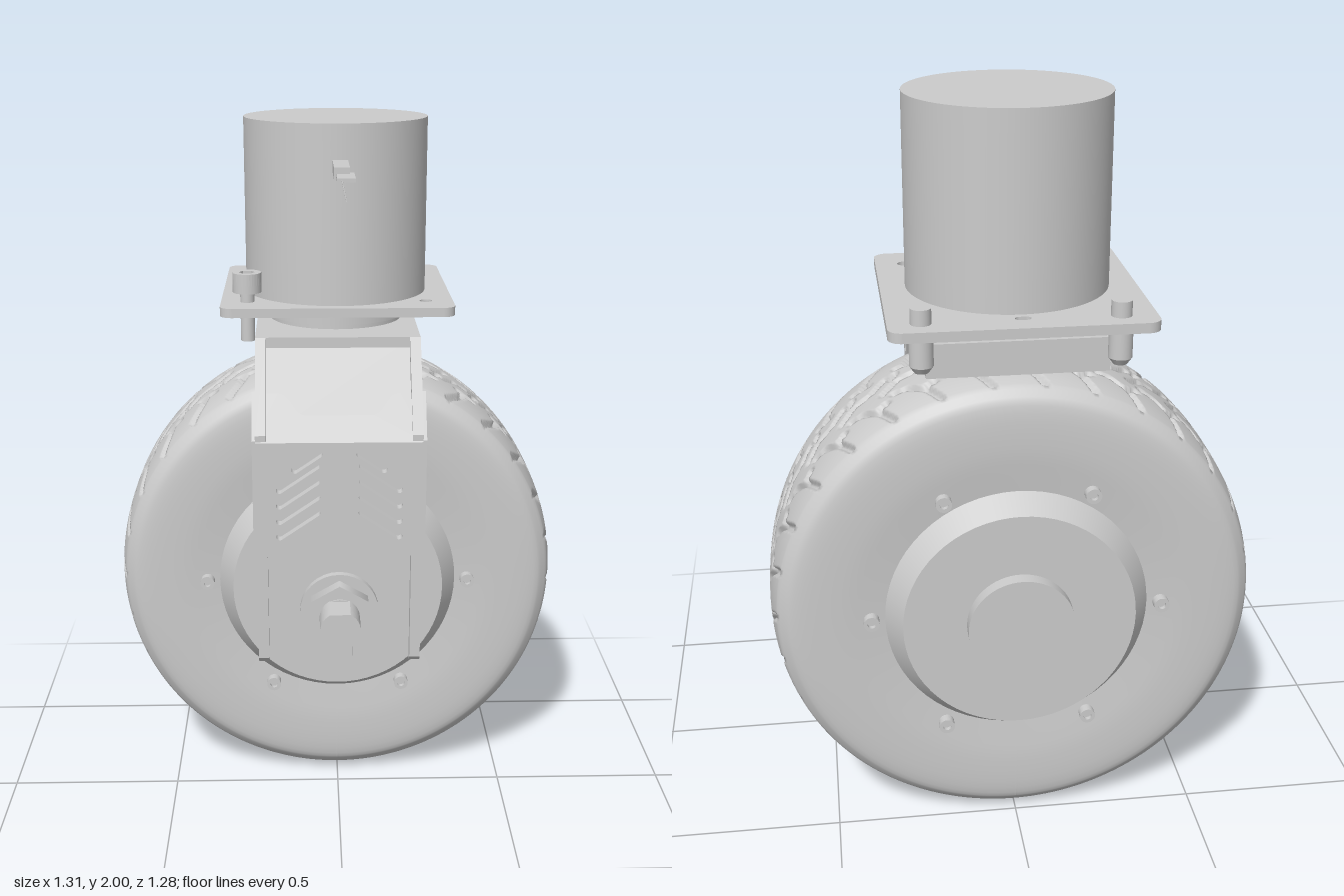
import * as THREE from 'three';

const grey = new THREE.MeshStandardMaterial({ color: 0xcccccc });
const AXLE_Y = 0.657, WHEEL_Z = -0.28, HEAD_Z = -0.275;

function add(parent, name, geo, x = 0, y = 0, z = 0) {
  const m = new THREE.Mesh(geo, grey);
  m.name = name;
  m.position.set(x, y, z);
  parent.add(m);
  return m;
}
const poly = (pts) => new THREE.Shape(pts.map(([x, y]) => new THREE.Vector2(x, y)));
const extrude = (shape, depth) =>
  new THREE.ExtrudeGeometry(shape, { depth, bevelEnabled: false, curveSegments: 16 });
function hole(shape, x, y, r) {
  shape.holes.push(new THREE.Path().absarc(x, y, r, 0, Math.PI * 2, true));
}
// capsule-shaped hole centred at x, y
function slot(shape, x, y, len, r, ang) {
  const p = new THREE.Path(), dx = Math.cos(ang) * len / 2, dy = Math.sin(ang) * len / 2;
  p.absarc(x + dx, y + dy, r, ang - Math.PI / 2, ang + Math.PI / 2, false);
  p.absarc(x - dx, y - dy, r, ang + Math.PI / 2, ang + Math.PI * 1.5, false);
  shape.holes.push(p);
}
// outline given as [z, y], extruded along +x
const sideExtrude = (pts, depth, holes = []) => {
  const s = poly(pts.map(([z, y]) => [-z, y]));
  holes.forEach(([z, y, len, r]) => slot(s, -z, y, len, r, Math.PI / 2));
  return extrude(s, depth).rotateY(Math.PI / 2);
};
// upright cylinder between two heights
const post = (g, name, r, y0, y1, x, z, seg = 24, r0 = r) =>
  add(g, name, new THREE.CylinderGeometry(r, r0, y1 - y0, seg), x, (y0 + y1) / 2, z);
// cylinder on the axle line, from z0 (radius r0) to z1 (radius r1)
const disc = (g, name, r0, r1, z0, z1, seg = 64) =>
  add(g, name, new THREE.CylinderGeometry(r1, r0, z1 - z0, seg).rotateX(Math.PI / 2), 0, AXLE_Y, (z0 + z1) / 2);

// Tread grooves in one pitch: [across, along] polylines
const PITCHES = 30, PITCH = Math.PI * 2 * 0.655 / PITCHES;
const GROOVES = [
  [[-0.185, 0.06], [-0.13, 0.02], [-0.08, 0.0]],
  [[-0.075, 0.025], [-0.085, -0.028]],
  [[-0.045, 0.075], [-0.005, 0.03], [0.005, -0.03], [0.045, -0.075]],
  [[-0.05, -0.03], [-0.025, -0.045]],
  [[0.19, 0.075], [0.13, 0.045], [0.085, -0.005], [0.075, -0.045]],
  [[0.12, 0.035], [0.105, 0.07]],
];
function grooveDistance(v, u) {
  let best = 1;
  for (const line of GROOVES) for (let i = 0; i + 1 < line.length; i++) {
    const [ax, ay] = line[i], [bx, by] = line[i + 1];
    for (const k of [-1, 0, 1]) {
      const px = v - ax, py = u + k * PITCH - ay, dx = bx - ax, dy = by - ay;
      const t = Math.min(1, Math.max(0, (px * dx + py * dy) / (dx * dx + dy * dy)));
      best = Math.min(best, Math.hypot(px - t * dx, py - t * dy));
    }
  }
  return best;
}

function tireGeometry() {
  // half section from crown to bead: [radius, offset from the middle]
  const crown = (w) => 0.657 - 0.16 * w * w - 9 * w ** 4;
  const side = new THREE.SplineCurve([[crown(0.2), 0.2], [0.618, 0.217], [0.598, 0.229], [0.55, 0.235],
    [0.47, 0.235], [0.41, 0.23], [0.33, 0.222]].map(([r, w]) => new THREE.Vector2(r, w))).getPoints(14);
  const pts = side.map((p) => new THREE.Vector2(p.x, -p.y)).reverse();
  for (let i = 1; i < 52; i++) {
    const w = -0.2 + 0.4 * i / 52;
    pts.push(new THREE.Vector2(crown(w), w));
  }
  pts.push(...side);
  const geo = new THREE.LatheGeometry(pts, 630).rotateX(Math.PI / 2);
  const p = geo.attributes.position;
  for (let i = 0; i < p.count; i++) {
    const x = p.getX(i), y = p.getY(i), z = p.getZ(i), r = Math.hypot(x, y);
    if (Math.abs(z) > 0.2 || r < 0.6) continue;
    const a = Math.atan2(y, x) + Math.PI * 2;
    const u = ((a * 0.655) % PITCH) - PITCH / 2;
    const d = grooveDistance(-z, u);
    const k = 1 - 0.016 * THREE.MathUtils.clamp((0.011 - d) / 0.005, 0, 1) / r;
    p.setXY(i, x * k, y * k);
  }
  geo.computeVertexNormals();
  return geo;
}

function buildWheel() {
  const g = new THREE.Group();
  g.name = 'wheel';
  add(g, 'tire', tireGeometry(), 0, AXLE_Y, WHEEL_Z);
  disc(g, 'hubFront', 0.356, 0.31, -0.06, 0.016);
  disc(g, 'hubBack', 0.31, 0.356, -0.567, -0.5);
  disc(g, 'hubBossFront', 0.14, 0.14, 0.01, 0.058);
  disc(g, 'hubBossBack', 0.142, 0.142, -0.606, -0.56);
  for (const s of [1, -1]) for (let i = 0; i < 6; i++) {
    const a = i * Math.PI / 3;
    const ring = new THREE.Shape().absarc(0, 0, 0.021, 0, Math.PI * 2);
    hole(ring, 0, 0, 0.011);
    const x = 0.39 * Math.cos(a), y = AXLE_Y + 0.39 * Math.sin(a);
    add(g, 'rimScrew', extrude(ring, 0.05), x, y, WHEEL_Z + s * 0.228 - 0.025);
    add(g, 'rimScrewCore', new THREE.CylinderGeometry(0.014, 0.014, 0.03, 12).rotateX(Math.PI / 2),
      x, y, WHEEL_Z + s * 0.226);
  }
  return g;
}

function buildAxle() {
  const g = new THREE.Group();
  g.name = 'axle';
  disc(g, 'axleRod', 0.055, 0.055, 0.0, 0.23, 32);
  disc(g, 'washer', 0.112, 0.112, 0.155, 0.182, 32);
  disc(g, 'axleNut', 0.094, 0.094, 0.175, 0.225, 6);
  // threaded end with two flats
  const end = new THREE.Shape();
  end.absarc(0, 0, 0.057, -1.05, 1.05).absarc(0, 0, 0.057, Math.PI - 1.05, Math.PI + 1.05);
  add(g, 'axleEnd', extrude(end, 0.1), 0, AXLE_Y, 0.22);
  return g;
}

function buildBracket() {
  const g = new THREE.Group();
  g.name = 'bracket';
  // side flanges
  const flange = [[-0.5, 1.42], [0.02, 1.42], [0.19, 1.185], [0.19, 0.515], [0.178, 0.5], [0.09, 0.5],
    [0.09, 1.0], [0.098, 1.06], [-0.065, 1.33], [-0.5, 1.33]];
  const tab = [[0.115, 1.29], [0.06, 1.245], [0.13, 1.09], [0.127, 0.83], [0.192, 0.83], [0.192, 1.17]];
  for (const s of [1, -1]) {
    add(g, 'sideFlange', sideExtrude(flange, 0.03), s > 0 ? 0.202 : -0.232);
    add(g, 'coverTab', sideExtrude(tab, 0.01, [[0.133, 1.19, 0.014, 0.012], [0.157, 0.865, 0.014, 0.012]]),
      s > 0 ? 0.231 : -0.241);
  }
  // bent inner sheet
  add(g, 'bentSheet', sideExtrude([[0.0, 1.415], [0.16, 1.17], [0.16, 0.8], [0.13, 0.8], [0.13, 1.16],
    [-0.03, 1.39]], 0.42), -0.21);
  // lower dropout panel, open below the axle
  add(g, 'dropoutPanel', extrude(poly([[-0.205, 0.5], [-0.04, 0.5], [-0.04, 0.66], [0.04, 0.66],
    [0.04, 0.5], [0.205, 0.5], [0.205, 0.82], [-0.205, 0.82]]), 0.03), 0, 0, 0.13);
  // top plate with mounting holes, and rear lip
  const top = poly([[-0.21, -0.5], [0.21, -0.5], [0.21, 0.02], [-0.21, 0.02]]);
  for (let i = 0; i < 8; i++) {
    const a = (i + 0.5) * Math.PI / 4;
    hole(top, 0.15 * Math.cos(a), HEAD_Z + 0.15 * Math.sin(a), 0.012);
  }
  hole(top, 0, HEAD_Z, 0.06);
  add(g, 'bracketTop', extrude(top, 0.03).rotateX(Math.PI / 2), 0, 1.42);
  add(g, 'rearLip', new THREE.BoxGeometry(0.42, 0.09, 0.025), 0, 1.375, -0.4875);

  // vented cover: wavy lower edge on the upright part, wavy upper edge on the sloping part
  const wave = (s, y0, y1) => s.lineTo(0.17, y0).bezierCurveTo(0.13, y0, 0.13, y1, 0.09, y1)
    .lineTo(-0.09, y1).bezierCurveTo(-0.13, y1, -0.13, y0, -0.17, y0).lineTo(-0.238, y0);
  const lower = new THREE.Shape().moveTo(0.238, 0.83);
  wave(lower, 0.83, 0.89).lineTo(-0.238, 1.165).lineTo(0.238, 1.165);
  for (const s of [1, -1]) for (let i = 0; i < 5; i++)
    slot(lower, s * (i === 4 ? 0.09 : 0.115), 0.925 + i * 0.046, i === 4 ? 0.08 : 0.125, 0.01,
      s > 0 ? -0.6 : 0.6);
  add(g, 'ventCover', extrude(lower, 0.03), 0, 0, 0.162);
  const upper = new THREE.Shape().moveTo(0.238, 0.145);
  wave(upper, 0.145, 0.08).lineTo(-0.238, 0).lineTo(0.238, 0);
  add(g, 'slopedCover', extrude(upper, 0.03).translate(0, 0, -0.03), 0, 1.165, 0.192).rotation.x = -0.627;
  return g;
}

function buildHead() {
  const g = new THREE.Group();
  g.name = 'swivelHead';
  post(g, 'bearingLower', 0.195, 1.415, 1.44, 0, HEAD_Z, 64);
  post(g, 'bearingUpper', 0.21, 1.435, 1.48, 0, HEAD_Z, 64);
  post(g, 'motorHousing', 0.264, 1.495, 2, 0, HEAD_Z, 96);

  // rounded mounting plate
  const x = 0.33, z0 = -0.64, z1 = 0.02, r = 0.035, h = Math.PI / 2;
  const plate = new THREE.Shape();
  plate.absarc(x - r, z0 + r, r, -h, 0).absarc(x - r, z1 - r, r, 0, h)
    .absarc(-x + r, z1 - r, r, h, 2 * h).absarc(-x + r, z0 + r, r, 2 * h, 3 * h);
  hole(plate, 0.253, -0.08, 0.018);
  slot(plate, 0, -0.567, 0.016, 0.012, 0);
  add(g, 'mountingPlate', extrude(plate, 0.026).rotateX(Math.PI / 2), 0, 1.502);

  // locating pins at the rear corners
  for (const px of [-0.24, 0.248]) {
    post(g, 'pinTop', 0.026, 1.49, 1.542, px, -0.573);
    post(g, 'pinBody', 0.03, 1.395, 1.48, px, -0.573);
    post(g, 'pinTip', 0.03, 1.378, 1.395, px, -0.573, 24, 0.018);
  }
  // socket-head bolt at the front corner
  const bx = -0.255, bz = -0.08;
  post(g, 'boltShank', 0.02, 1.39, 1.535, bx, bz);
  post(g, 'boltHeadBase', 0.041, 1.53, 1.555, bx, bz);
  const rim = new THREE.Shape().absarc(0, 0, 0.041, 0, Math.PI * 2);
  rim.holes.push(new THREE.Path(Array.from({ length: 6 }, (_, i) =>
    new THREE.Vector2(0.023 * Math.cos(-i * Math.PI / 3), 0.023 * Math.sin(-i * Math.PI / 3)))));
  add(g, 'boltHeadRim', extrude(rim, 0.033).rotateX(Math.PI / 2), bx, 1.586, bz);

  // cable outlet, flat lead and thin wire
  add(g, 'cableSleeve', new THREE.BoxGeometry(0.042, 0.032, 0.19), 0.007, 1.888, 0.065);
  add(g, 'cableLead', new THREE.BoxGeometry(0.048, 0.01, 0.13), 0.016, 1.882, 0.19);
  add(g, 'cableWire', new THREE.CylinderGeometry(0.0012, 0.002, 0.39, 6).rotateX(Math.PI / 2), 0.005, 1.882, 0.445);
  return g;
}

export function createModel() {
  const model = new THREE.Group();
  model.name = 'casterWheel';
  model.add(buildWheel(), buildAxle(), buildBracket(), buildHead());
  return model;
}
